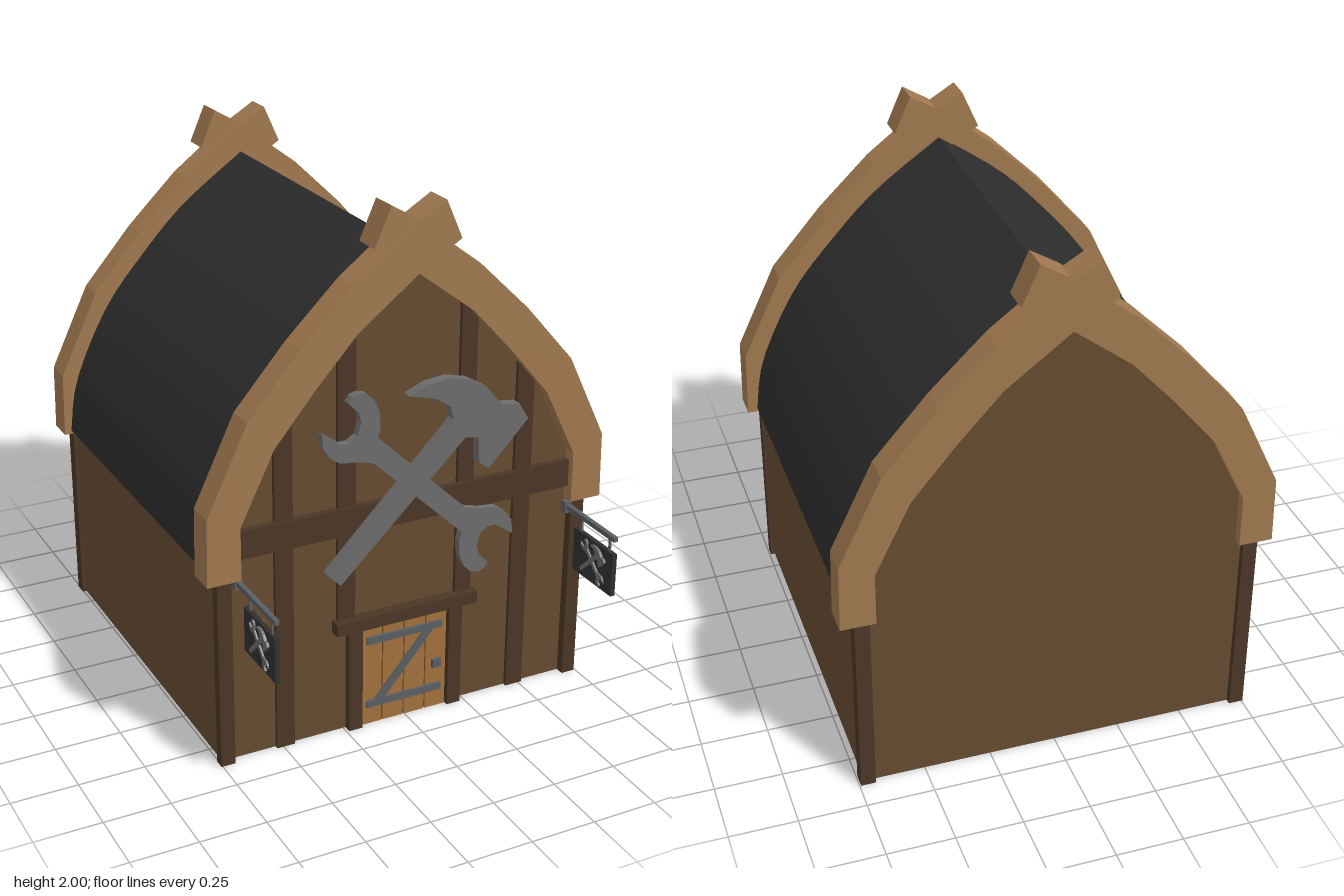
import * as THREE from 'three';
import { toCreasedNormals } from 'three/addons/utils/BufferGeometryUtils.js';

const mat = (color) => new THREE.MeshStandardMaterial({ color });
const WALL = mat(0x654a30), TIMBER = mat(0x4a3626), BEAM = mat(0xa0784f), ROOF = mat(0x2d2d2d);
const DOOR = mat(0xa0713c), STEEL = mat(0x6c6c6c), IRON = mat(0x5a5d62), BOARD = mat(0x303030);

function add(parent, name, geometry, material) {
  const mesh = new THREE.Mesh(geometry, material);
  mesh.name = name;
  parent.add(mesh);
  return mesh;
}

// Box given by its limits on each axis
function box(parent, name, material, x0, x1, y0, y1, z0, z1) {
  const mesh = add(parent, name, new THREE.BoxGeometry(x1 - x0, y1 - y0, z1 - z0), material);
  mesh.position.set((x0 + x1) / 2, (y0 + y1) / 2, (z0 + z1) / 2);
  return mesh;
}

// Outline in x, y extruded from z0 to z1
function slab(points, z0, z1) {
  const shape = new THREE.Shape(points.map(([x, y]) => new THREE.Vector2(x, y)));
  const geo = new THREE.ExtrudeGeometry(shape, { depth: z1 - z0, bevelEnabled: false });
  return geo.translate(0, 0, z0);
}

const mirror = (pts) => pts.map(([x, y]) => [-x, y]).reverse();

// Crossed wrench and hammer, centred on the origin
function toolEmblem() {
  const group = new THREE.Group();
  group.name = 'toolEmblem';
  const half = [
    [-0.175, 0.222], [-0.164, 0.254], [-0.17, 0.323], [-0.19, 0.365], [-0.217, 0.392], [-0.25, 0.4],
    [-0.275, 0.392], [-0.29, 0.37], [-0.25, 0.33], [-0.24, 0.29], [-0.254, 0.243], [-0.285, 0.222],
    [-0.317, 0.222], [-0.392, 0.275], [-0.386, 0.217], [-0.36, 0.18], [-0.323, 0.153], [-0.249, 0.143],
    [-0.19, 0.127],
  ];
  const wrench = [...half, ...half.map(([x, y]) => [-x, -y])];
  add(group, 'wrench', slab(wrench, 0, 0.03), STEEL).position.x = 0.03;
  const hammer = [
    [-0.03, 0.36], [0.04, 0.39], [0.13, 0.4], [0.21, 0.38], [0.28, 0.34], [0.345, 0.26], [0.42, 0.25],
    [0.46, 0.185], [0.3, 0.02], [0.26, 0.05], [0.255, 0.15], [0.2, 0.16], [-0.295, -0.315],
    [-0.345, -0.265], [0.125, 0.21], [0.15, 0.24], [0.135, 0.29], [0.08, 0.33],
  ];
  add(group, 'hammer', slab(hammer, 0.005, 0.045), STEEL);
  return group;
}

// Sign hanging from a rod that sticks out of the front
function hangingSign(x) {
  const sign = new THREE.Group();
  sign.name = 'hangingSign';
  box(sign, 'rod', IRON, -0.009, 0.009, 0.717, 0.735, 0.6, 0.94);
  box(sign, 'rodPlate', IRON, -0.014, 0.014, 0.70, 0.745, 0.6, 0.63);
  for (const z of [0.725, 0.905]) box(sign, 'hanger', IRON, -0.004, 0.004, 0.66, 0.72, z - 0.004, z + 0.004);
  box(sign, 'board', BOARD, -0.009, 0.009, 0.497, 0.667, 0.69, 0.94);
  for (const s of [1, -1]) {
    const emblem = toolEmblem();
    emblem.scale.set(0.19, 0.19, 0.25);
    emblem.rotation.y = s * Math.PI / 2;
    emblem.position.set(s * 0.008, 0.582, 0.813);
    sign.add(emblem);
  }
  sign.position.x = x;
  return sign;
}

export function createModel() {
  const model = new THREE.Group();
  model.name = 'workshop';

  // Curved roof profile, right half from eave to ridge
  const curve = new THREE.SplineCurve(
    [[0.772, 0.765], [0.735, 0.98], [0.6, 1.26], [0.43, 1.47], [0.25, 1.65], [0, 1.83]]
      .map(([x, y]) => new THREE.Vector2(x, y)));
  const outer = curve.getPoints(18).map((p) => [p.x, p.y]);
  const inner = outer.map(([x, y]) => [x * 0.95, y - 0.035]);
  inner[0][1] = 0.765;
  const cx = -0.005;

  // House body with gable ends
  const body = [[0.733, 0], ...inner, ...mirror(inner).slice(1), [-0.733, 0]];
  add(model, 'walls', toCreasedNormals(slab(body, -0.875, 0.59), 0.5), WALL).position.x = cx;

  // Roof shell
  const shell = [...outer, ...mirror(outer).slice(1), ...inner.slice(0, -1), ...[]];
  shell.length = outer.length * 2 - 1;
  shell.push(...[...inner, ...mirror(inner).slice(1)].reverse());
  add(model, 'roof', toCreasedNormals(slab(shell, -0.86, 0.57), 0.5), ROOF).position.x = cx;

  // Crossing gable beams, one pair at each end
  const rafter = [
    [0.805, 0.75], [0.8, 1.005], [0.645, 1.33], [0.45, 1.555], [0.25, 1.75], [0, 1.94], [-0.1, 2],
    [-0.163, 1.857], [0, 1.755], [0.23, 1.58], [0.39, 1.405], [0.548, 1.215], [0.677, 0.95], [0.677, 0.75],
  ];
  for (const [z0, z1, zl] of [[0.53, 0.64, 0.02], [-0.94, -0.83, 0.03]]) {
    add(model, 'gableBeamLeft', slab(rafter, z0, z1), BEAM);
    add(model, 'gableBeamRight', slab(mirror(rafter), z0 + zl, z1 + zl), BEAM);
  }

  // Corner posts
  for (const s of [1, -1]) {
    const [a, b] = s > 0 ? [0.69, 0.745] : [-0.755, -0.7];
    box(model, 'cornerPostFront', TIMBER, a, b, 0, 0.85, 0.585, 0.625);
    box(model, 'cornerPostBack', TIMBER, a, b, 0, 0.85, -0.897, -0.843);
  }

  // Front timber framing
  for (const [x0, x1, y0, y1] of [
    [-0.525, -0.455, 0, 1.36], [0.445, 0.515, 0, 1.36], [-0.28, -0.21, 0.44, 1.63], [0.205, 0.27, 0.44, 1.63],
  ]) box(model, 'wallStud', TIMBER, x0, x1, y0, y1, 0.58, 0.606);
  box(model, 'crossBeam', TIMBER, -0.69, 0.69, 0.805, 0.912, 0.58, 0.615);

  // Door with frame, planks and ironwork
  const door = new THREE.Group();
  door.name = 'door';
  model.add(door);
  box(door, 'lintel', TIMBER, -0.295, 0.287, 0.415, 0.465, 0.58, 0.632);
  box(door, 'jamb', TIMBER, -0.24, -0.185, 0, 0.415, 0.58, 0.622);
  box(door, 'jamb', TIMBER, 0.175, 0.23, 0, 0.415, 0.58, 0.622);
  box(door, 'doorBack', TIMBER, -0.185, 0.175, 0, 0.415, 0.58, 0.597);
  for (let i = 0; i < 4; i++) {
    const x = -0.185 + i * 0.09;
    box(door, 'plank', DOOR, x + 0.003, x + 0.087, 0, 0.413, 0.59, 0.605);
  }
  for (const y of [0.087, 0.353]) box(door, 'ironBar', IRON, -0.163, 0.15, y - 0.014, y + 0.014, 0.6, 0.615);
  const brace = [[-0.13, 0.1], [-0.09, 0.1], [0.115, 0.34], [0.075, 0.34]];
  add(door, 'ironBrace', slab(brace, 0.6, 0.613), IRON);
  box(door, 'latch', IRON, 0.112, 0.148, 0.172, 0.206, 0.6, 0.618);

  // Large emblem on the gable and the two signs
  const emblem = toolEmblem();
  emblem.position.set(0, 0.953, 0.614);
  model.add(emblem);
  for (const s of [1, -1]) model.add(hangingSign(s * 0.675));

  return model;
}
